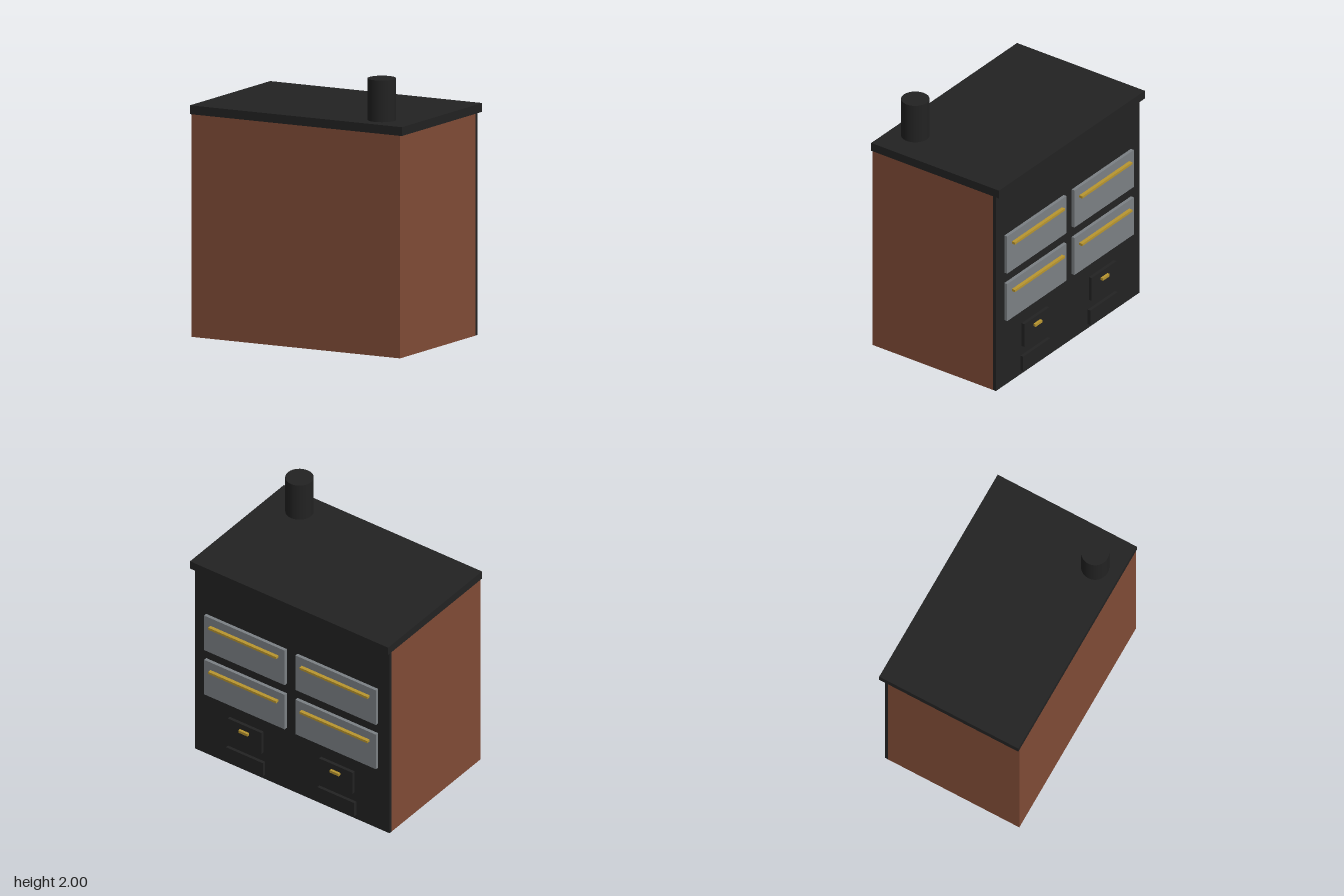
import * as THREE from 'three';

export function createModel() {
  const model = new THREE.Group();
  model.name = 'rangeStove';

  const material = (name, color, side = THREE.FrontSide) => {
    const m = new THREE.MeshStandardMaterial({ color, side });
    m.name = name;
    return m;
  };
  const brick = material('brick brown', 0x804b36, THREE.DoubleSide);
  const iron = material('cast iron black', 0x222222);
  const steel = material('steel grey', 0x7b8084);
  const brass = material('brass', 0xb8952f);

  const add = (name, geometry, mat, x, y, z) => {
    const mesh = new THREE.Mesh(geometry, mat);
    mesh.name = name;
    mesh.position.set(x, y, z);
    model.add(mesh);
    return mesh;
  };
  // Box given by its centre x, width, and its y and z ranges
  const box = (name, mat, x, w, y0, y1, z0, z1) =>
    add(name, new THREE.BoxGeometry(w, y1 - y0, z1 - z0), mat, x, (y0 + y1) / 2, (z0 + z1) / 2);

  // Thin brick shell, open underneath and closed behind by the iron plate
  const halfW = 0.87, height = 1.63, zFront = 0.58, zPlate = -0.5;
  add('frontWall', new THREE.PlaneGeometry(halfW * 2, height), brick, 0, height / 2, zFront);
  for (const s of [-1, 1]) {
    const wall = add(s > 0 ? 'leftWall' : 'rightWall',
      new THREE.PlaneGeometry(zFront - zPlate, height), brick,
      s * halfW, height / 2, (zFront + zPlate) / 2);
    wall.rotation.y = s * Math.PI / 2;
  }

  // Iron plate, cooktop and flue
  box('ironPlate', iron, 0, halfW * 2, 0, height, -0.527, zPlate);
  box('cooktop', iron, 0, 1.77, height, 1.695, -0.565, 0.58);
  add('flue', new THREE.CylinderGeometry(0.103, 0.103, 0.305, 32), iron, 0.607, 1.8475, 0.39);

  // Two matching columns of doors
  for (const s of [-1, 1]) {
    const x = s * 0.408;
    for (const y of [0.545, 0.942]) {
      box('ovenDoor', steel, x, 0.72, y, y + 0.31, -0.553, -0.527);
      box('ovenHandle', brass, x, 0.607, y + 0.225, y + 0.243, -0.581, -0.553);
    }
    box('fireDoor', iron, x, 0.3, 0.23, 0.42, -0.552, -0.527);
    box('fireDoorHandle', brass, x, 0.08, 0.352, 0.373, -0.572, -0.552);
    box('ashDoor', iron, x, 0.33, 0.035, 0.155, -0.552, -0.527);
  }
  return model;
}
